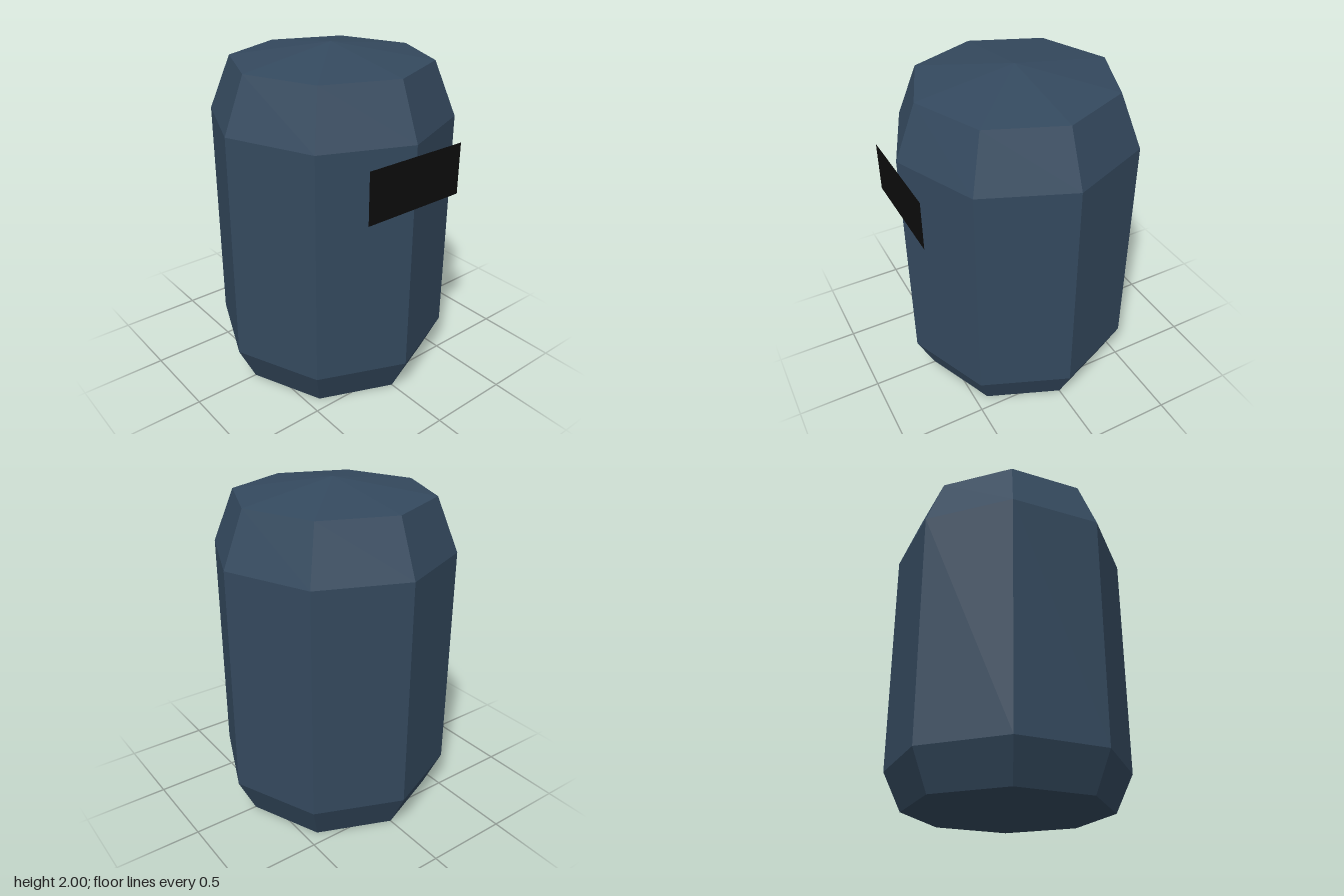
import * as THREE from 'three';

export function createModel() {
  const group = new THREE.Group();
  group.name = 'helmet';

  const shellBlue = new THREE.MeshStandardMaterial({ color: 0x34495e, flatShading: true });
  shellBlue.name = 'slate blue';
  const visorBlack = new THREE.MeshStandardMaterial({ color: 0x0d0d0d, side: THREE.DoubleSide });
  visorBlack.name = 'black';

  // Eight-sided shell: flat base, tapered foot, straight wall, tapered shoulder, shallow cap
  const profile = [
    [0, 0], [0.6, 0], [0.707, 0.225], [0.707, 1.595], [0.58, 1.91], [0, 2],
  ].map(([r, y]) => new THREE.Vector2(r, y));
  const shell = new THREE.Mesh(new THREE.LatheGeometry(profile, 8), shellBlue);
  shell.name = 'shell';
  group.add(shell);

  // Flat visor plate standing just off the front edge
  const visor = new THREE.Mesh(new THREE.PlaneGeometry(0.65, 0.3), visorBlack);
  visor.name = 'visor';
  visor.position.set(0, 1.385, 0.711);
  group.add(visor);

  return group;
}
